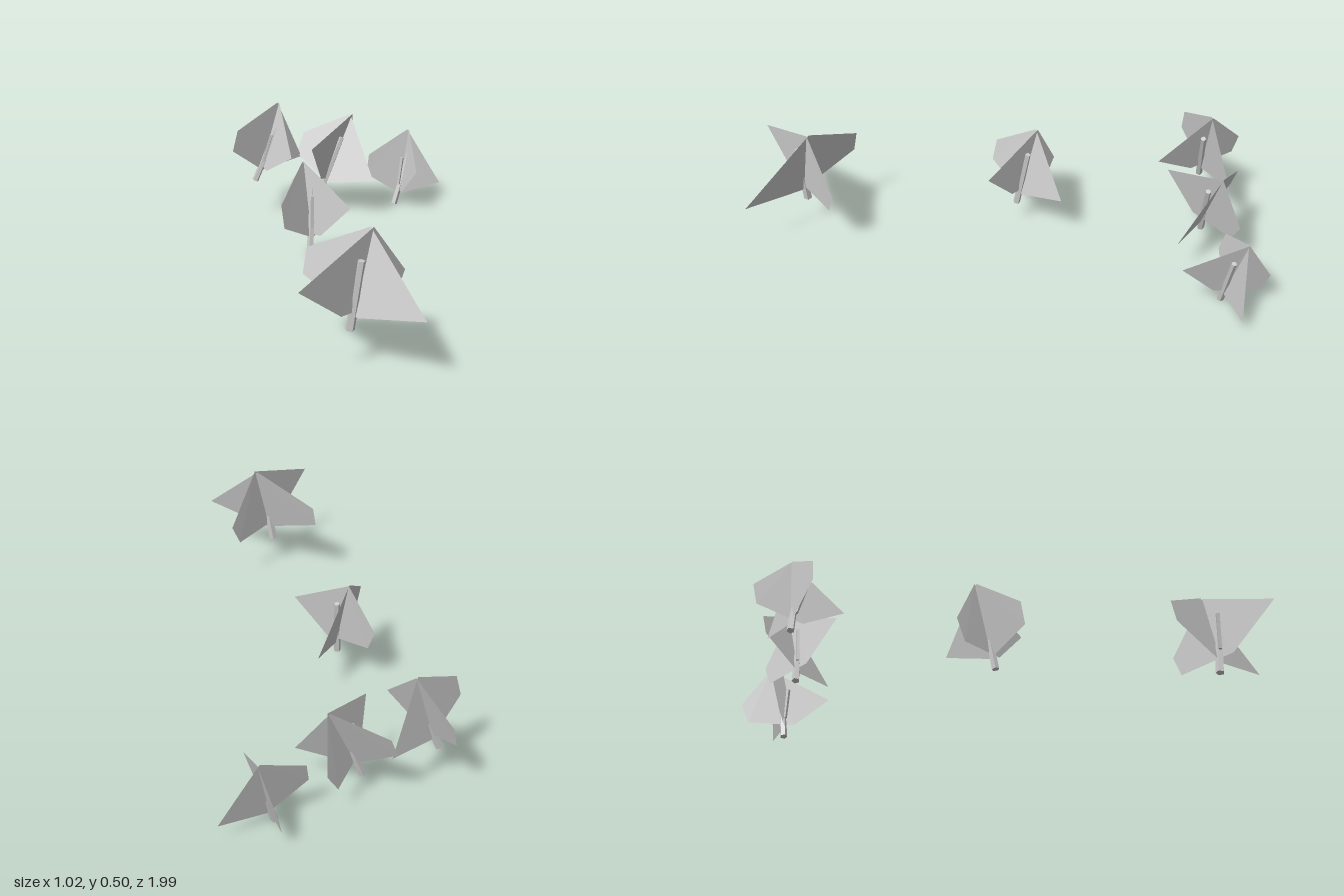
import * as THREE from 'three';

const wood = new THREE.MeshStandardMaterial({ color: 0xcccccc, flatShading: true });
const leaf = new THREE.MeshStandardMaterial({ color: 0xcccccc, flatShading: true, side: THREE.DoubleSide });

// Five-cornered foliage cards: apex, blunt side (two corners), foot, pointed side.
const CARD_A = [[-0.02, 0.332, -0.041], [-0.173, 0.186, -0.019], [-0.164, 0.101, -0.007], [0.014, 0.049, 0], [0.192, 0.136, -0.013]];
const CARD_B = [[-0.012, 0.335, -0.042], [0.013, 0.164, -0.158], [0.016, 0.078, -0.133], [0.001, 0.062, 0.042], [-0.02, 0.184, 0.184]];

// Trees: base position, lean (x, z per unit of height), heading in degrees, width and height factors.
const TREES = [
  { base: [-0.30, 0.135, 0.767], lean: [0.146, 0.08], heading: 53, width: 1.5, height: 1.08 },
  { base: [-0.253, 0.106, -0.078], lean: [0.1, -0.17], heading: -43, width: 1.04, height: 1.05 },
  { base: [-0.33, 0.165, -0.835], lean: [0.43, 0.07], heading: -20, width: 1.03, height: 1.06 },
  { base: [-0.051, 0.095, -0.80], lean: [0.4, 0.02], heading: 40, width: 1.08, height: 1.1 },
  { base: [0.291, 0.007, -0.826], lean: [0.326, -0.086], heading: -5.4, width: 1, height: 1 },
];

function card(name, points) {
  const geometry = new THREE.BufferGeometry();
  geometry.setAttribute('position', new THREE.Float32BufferAttribute(points.flat(), 3));
  geometry.setIndex([0, 1, 2, 0, 2, 3, 0, 3, 4]);
  const flat = geometry.toNonIndexed();
  flat.computeVertexNormals();
  const mesh = new THREE.Mesh(flat, leaf);
  mesh.name = name;
  return mesh;
}

// Tapered stick between two points.
function stick(name, from, to, r0, r1, sides) {
  const a = new THREE.Vector3(...from);
  const d = new THREE.Vector3(...to).sub(a);
  const geometry = new THREE.CylinderGeometry(r1, r0, d.length(), sides);
  geometry.translate(0, d.length() / 2, 0);
  const mesh = new THREE.Mesh(geometry, wood);
  mesh.quaternion.setFromUnitVectors(new THREE.Vector3(0, 1, 0), d.normalize());
  mesh.position.copy(a);
  mesh.name = name;
  return mesh;
}

function createTree({ base, lean, heading, width, height }) {
  const tree = new THREE.Group();
  tree.name = 'tree';
  const thin = 1 / Math.sqrt(width); // keeps the trunk slim on wide trees
  tree.add(
    card('foliageCardA', CARD_A),
    card('foliageCardB', CARD_B),
    stick('trunk', [0, 0, 0], [0, 0.24, 0], 0.014 * thin, 0.011 * thin, 5),
    stick('branch', [-0.008, 0.09, 0.008], [-0.034, 0.213, 0.022], 0.007 * thin, 0.008 * thin, 4),
  );

  // Leaning frame: up follows the trunk, side follows the first card.
  const up = new THREE.Vector3(lean[0], 1, lean[1]).normalize();
  const angle = THREE.MathUtils.degToRad(heading);
  const side = new THREE.Vector3(Math.cos(angle), 0, Math.sin(angle));
  side.addScaledVector(up, -side.dot(up)).normalize();
  const out = new THREE.Vector3().crossVectors(side, up);
  tree.quaternion.setFromRotationMatrix(new THREE.Matrix4().makeBasis(side, up, out));
  tree.position.set(...base);
  tree.scale.set(width, height, width);
  return tree;
}

export function createModel() {
  const model = new THREE.Group();
  model.name = 'treeCluster';
  for (const spec of TREES) model.add(createTree(spec));
  return model;
}
